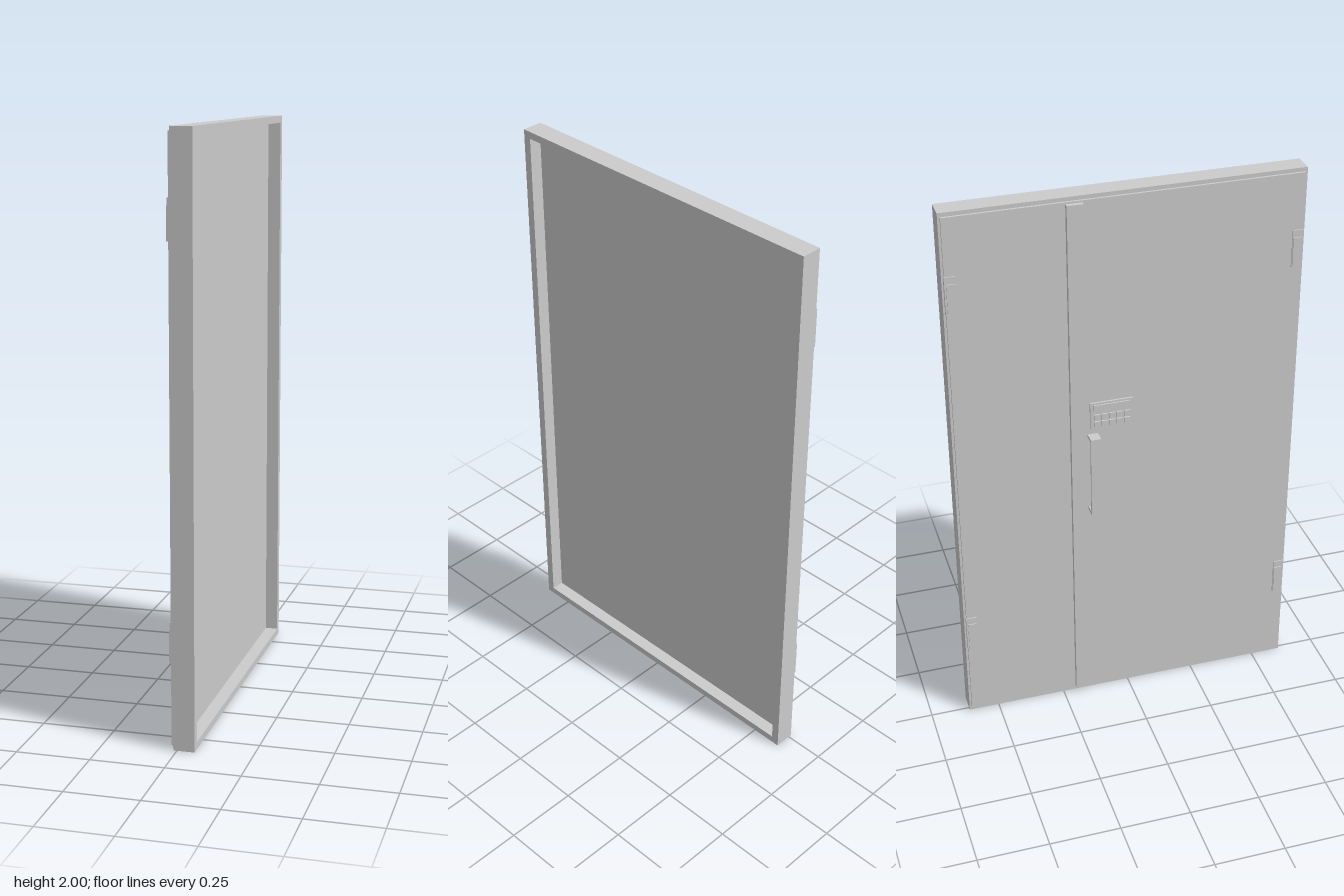
import * as THREE from 'three';

export function createModel() {
  const model = new THREE.Group();
  const grey = new THREE.MeshStandardMaterial({ color: 0xcccccc, flatShading: true });

  // Box given by its limits on each axis
  function box(name, [x0, x1], [y0, y1], [z0, z1], parent = model) {
    const mesh = new THREE.Mesh(new THREE.BoxGeometry(x1 - x0, y1 - y0, z1 - z0), grey);
    mesh.position.set((x0 + x1) / 2, (y0 + y1) / 2, (z0 + z1) / 2);
    mesh.name = name;
    parent.add(mesh);
    return mesh;
  }

  function group(name) {
    const g = new THREE.Group();
    g.name = name;
    model.add(g);
    return g;
  }

  // Frame: a rectangle with an opening, extruded through the wall depth
  const outline = new THREE.Shape();
  outline.moveTo(-0.61, 0).lineTo(0.61, 0).lineTo(0.61, 2).lineTo(-0.61, 2).closePath();
  const opening = new THREE.Path();
  opening.moveTo(-0.582, 0.025).lineTo(-0.582, 1.975).lineTo(0.582, 1.975).lineTo(0.582, 0.025).closePath();
  outline.holes.push(opening);
  const frameGeometry = new THREE.ExtrudeGeometry(outline, { depth: 0.072, bevelEnabled: false });
  frameGeometry.rotateY(Math.PI / 2);
  const frame = new THREE.Mesh(frameGeometry, grey);
  frame.position.x = -0.012;
  frame.name = 'doorFrame';
  model.add(frame);

  // Two unequal leaves: a core inside the opening and a skin overlapping the frame
  const leaves = group('doorLeaves');
  for (const [name, z0, z1] of [['narrowLeaf', -0.602, -0.178], ['wideLeaf', -0.178, 0.602]]) {
    box(name + 'Skin', [-0.02, -0.012], [0.014, 1.986], [z0, z1], leaves);
    box(name + 'Core', [-0.012, 0.015], [0.025, 1.975],
      [Math.max(z0, -0.582), Math.min(z1, 0.582)], leaves);
  }

  // Cover strip over the joint between the leaves
  box('coverStrip', [-0.036, -0.02], [0.025, 1.98], [-0.206, -0.15]);

  // Hinges: a plate on the leaf and a thicker knuckle at the outer edge
  for (const side of [-1, 1]) {
    for (const y of [0.365, 1.718]) {
      const hinge = group('hinge');
      const zRange = (a, b) => [Math.min(a * side, b * side), Math.max(a * side, b * side)];
      box('hingePlate', [-0.024, -0.012], [y - 0.067, y + 0.067], zRange(0.566, 0.604), hinge);
      box('hingeKnuckle', [-0.028, -0.02], [y - 0.067, y + 0.042], zRange(0.568, 0.598), hinge);
    }
  }

  // Pull handle: upright grip on two short arms
  const handle = group('handle');
  const hz = [-0.145, -0.108];
  box('handleGrip', [-0.062, -0.054], [0.815, 1.122], hz, handle);
  box('handleLowerArm', [-0.054, -0.02], [0.815, 0.825], hz, handle);
  box('handleUpperArm', [-0.054, -0.02], [1.112, 1.122], hz, handle);

  // Lock panel: housing, raised display and two rows of keys
  const lock = group('lockPanel');
  box('lockHousing', [-0.027, -0.02], [1.145, 1.245], [-0.136, 0.016], lock);
  box('lockDisplay', [-0.032, -0.027], [1.212, 1.238], [-0.124, 0.004], lock);
  for (let row = 0; row < 2; row++) {
    for (let col = 0; col < 5; col++) {
      const y = 1.154 + row * 0.027, z = -0.124 + col * 0.0265;
      box('lockKey', [-0.033, -0.027], [y, y + 0.02], [z, z + 0.021], lock);
    }
  }

  return model;
}
